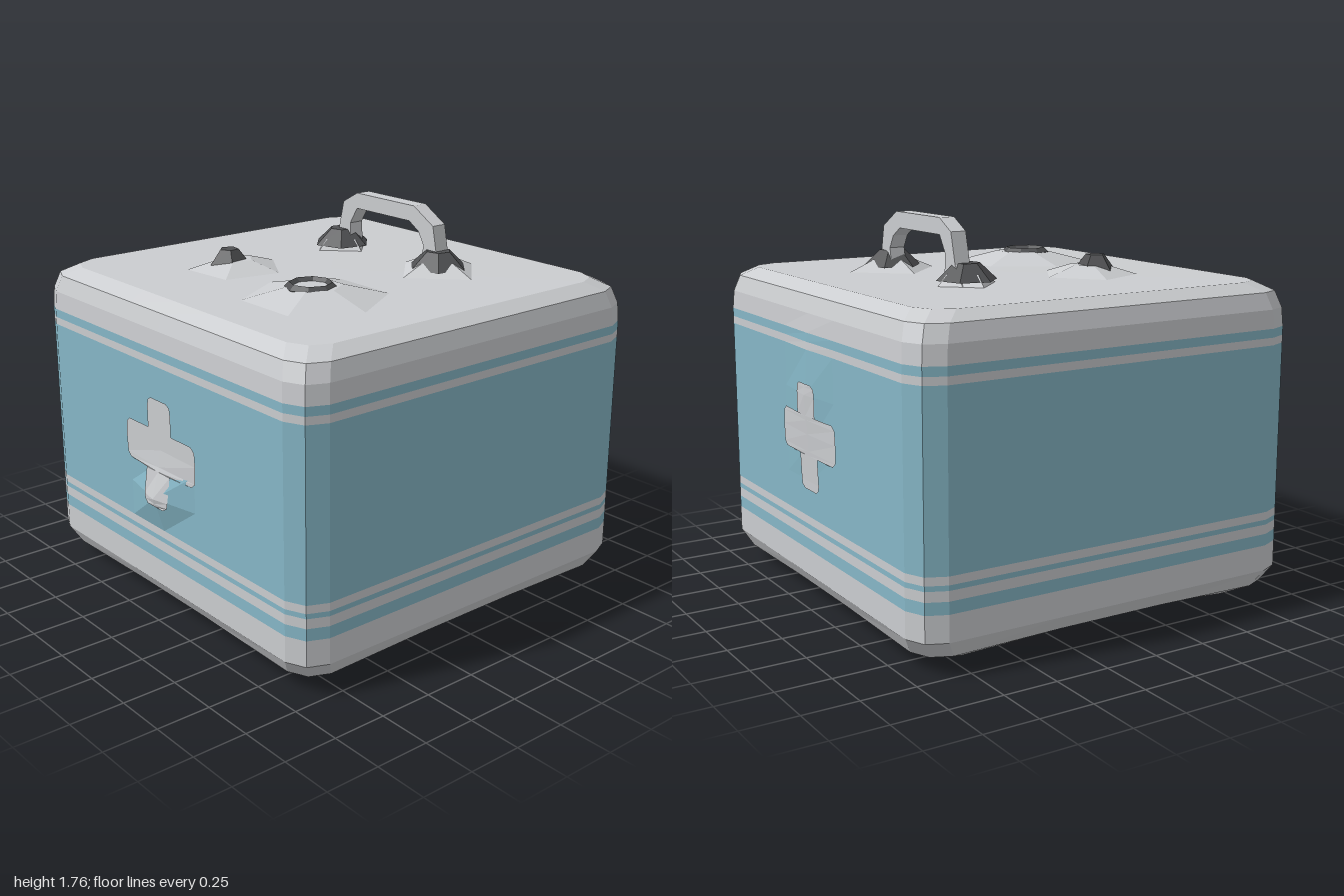
import * as THREE from 'three';

const paint = (name, color) => Object.assign(new THREE.MeshStandardMaterial({ color }), { name });

export function createModel() {
  const shell = paint('light grey', 0xcbcdd0);
  const teal = paint('teal', 0x86b7c7);
  const dark = paint('dark grey', 0x505153);
  const model = new THREE.Group();

  // Adds a faceted mesh with one normal per face
  function add(name, geometry, material, x = 0, y = 0, z = 0) {
    const g = geometry.index ? geometry.toNonIndexed() : geometry;
    g.computeVertexNormals();
    const mesh = new THREE.Mesh(g, material);
    mesh.name = name;
    mesh.position.set(x, y, z);
    model.add(mesh);
    return mesh;
  }

  // Shallow dents pushing out of the two cross sides (s = side sign)
  const CX = 0.015, HX = 0.965;
  function bump(s, y, z) {
    const [cy, half, amount] = s < 0 ? [0.6, 0.17, 0.05] : [1.0, 0.35, 0.02];
    return amount * Math.max(0, 1 - Math.max(Math.abs(y - cy) / half, Math.abs(z) / 0.25));
  }

  // Body: stacked rings of [height, inset, colour of the strip above]
  const rings = [
    [0.05, 0.14, shell], [0.08, 0.045, shell], [0.15, 0, shell], [0.27, 0, teal],
    [0.325, 0, shell], [0.37, 0, teal], [0.393, 0, shell], [0.43, 0, teal],
    [0.6, 0, teal], [0.77, 0, teal], [1.0, 0, teal], [1.2, 0, shell],
    [1.235, 0, teal], [1.275, 0, shell], [1.36, 0.006, shell], [1.435, 0.03, shell], [1.477, 0.1, shell],
  ];
  function ringPoints([y, inset], level) {
    const hx = HX - inset, hz = 1 - inset;
    const half = [
      [-hx + 0.13, hz], [-0.27, hz], [0.27, hz], [hx - 0.13, hz], [hx - 0.04, hz - 0.04],
      [hx, hz - 0.13], [hx, 0.25], [hx, 0], [hx, -0.25], [hx, -hz + 0.13], [hx - 0.04, -hz + 0.04],
    ];
    return [...half, ...half.map(([x, z]) => [-x, -z])].map(([x, z]) => {
      const corner = Math.abs(x) > 0.5 && Math.abs(z) > 0.5;
      const sag = corner && level < 2 ? (level ? 0.01 : 0.03) : 0;
      const s = Math.sign(x);
      const out = Math.abs(x) > hx - 0.01 ? s * bump(s, y, z) : 0;
      return [CX + x + out, y - sag, z];
    });
  }
  const loops = rings.map(ringPoints);
  const faces = new Map([[shell, []], [teal, []]]);
  const count = loops[0].length;
  const last = loops.length - 1;
  for (let i = 0; i < count; i++) {
    const j = (i + 1) % count;
    for (let r = 0; r < last; r++) {
      const a = loops[r][i], b = loops[r][j], c = loops[r + 1][j], d = loops[r + 1][i];
      faces.get(rings[r][2]).push(...a, ...b, ...c, ...a, ...c, ...d);
    }
    faces.get(shell).push(CX, 1.482, 0, ...loops[last][i], ...loops[last][j]);
    faces.get(shell).push(CX, 0.045, 0, ...loops[0][j], ...loops[0][i]);
  }
  for (const [material, list] of faces) {
    const g = new THREE.BufferGeometry();
    g.setAttribute('position', new THREE.Float32BufferAttribute(list, 3));
    add(material === shell ? 'caseShell' : 'tealBands', g, material);
  }

  // Crosses: rows of [height, half width] following the side surface
  const rows = [
    [1.05, 0.06], [1.035, 0.085], [1.0, 0.09], [0.905, 0.09], [0.905, 0.24], [0.885, 0.265],
    [0.82, 0.27], [0.74, 0.265], [0.72, 0.24], [0.72, 0.09], [0.6, 0.09], [0.575, 0.085], [0.56, 0.06],
  ];
  for (const s of [1, -1]) {
    const g = new THREE.PlaneGeometry(2, 1, 2, rows.length - 1);
    const p = g.attributes.position;
    for (let i = 0; i < p.count; i++) {
      const [y, w] = rows[Math.floor(i / 3)];
      const z = -s * p.getX(i) * w;
      p.setXYZ(i, CX + s * (HX + bump(s, y, z) + 0.006), y, z);
    }
    add(s > 0 ? 'leftCross' : 'rightCross', g, shell);
  }

  // Low frustum standing between two heights
  function frustum(name, material, x, z, y0, y1, rBottom, rTop, sides = 5, turn = 0) {
    const mesh = add(name, new THREE.CylinderGeometry(rTop, rBottom, y1 - y0, sides), material, x, (y0 + y1) / 2, z);
    mesh.rotation.y = turn;
    return mesh;
  }

  // Carrying handle: angular arch across z
  const arch = new THREE.Shape([
    [0.40, 1.48], [0.355, 1.57], [0.33, 1.69], [0.20, 1.765], [-0.20, 1.765], [-0.30, 1.71],
    [-0.335, 1.57], [-0.40, 1.48], [-0.24, 1.48], [-0.25, 1.61], [-0.20, 1.69], [0.17, 1.69],
    [0.235, 1.65], [0.27, 1.59], [0.25, 1.48],
  ].map(([z, y]) => new THREE.Vector2(-z, y)));
  const handle = add('handle', new THREE.ExtrudeGeometry(arch, { depth: 0.075, bevelEnabled: false }), shell, 0.352);
  handle.rotation.y = Math.PI / 2;

  // Handle mounts: pale skirt under a dark socket
  for (const [x, z, r] of [[0.38, 0.34, 0.23], [0.36, -0.32, 0.15]]) {
    frustum('handleSkirt', shell, x, z, 1.475, 1.53, r, 0.1, 4);
    frustum('handleSocket', dark, x, z, 1.5, 1.575, 0.14, 0.06, 6, 0.3);
  }

  // Remains of the second handle: wide mounds with dark stubs
  frustum('frontMound', shell, -0.34, 0.33, 1.47, 1.53, 0.36, 0.12, 6);
  frustum('rearMound', shell, -0.3, -0.3, 1.47, 1.525, 0.26, 0.08, 5, 0.4);
  const stubRing = add('frontStub', new THREE.TorusGeometry(0.095, 0.022, 4, 8), dark, -0.36, 1.525, 0.32);
  stubRing.rotation.x = -Math.PI / 2;
  frustum('rearStub', dark, -0.33, -0.32, 1.5, 1.572, 0.1, 0.045, 5, 0.8);

  // Small dark feet under three corners
  for (const [x, z, y] of [[-0.7, 0.74, 0], [0.76, 0.76, 0.012], [0.76, -0.76, 0.012]]) {
    frustum('foot', dark, x, z, y, 0.045, 0.05, 0.1, 6);
  }
  return model;
}
